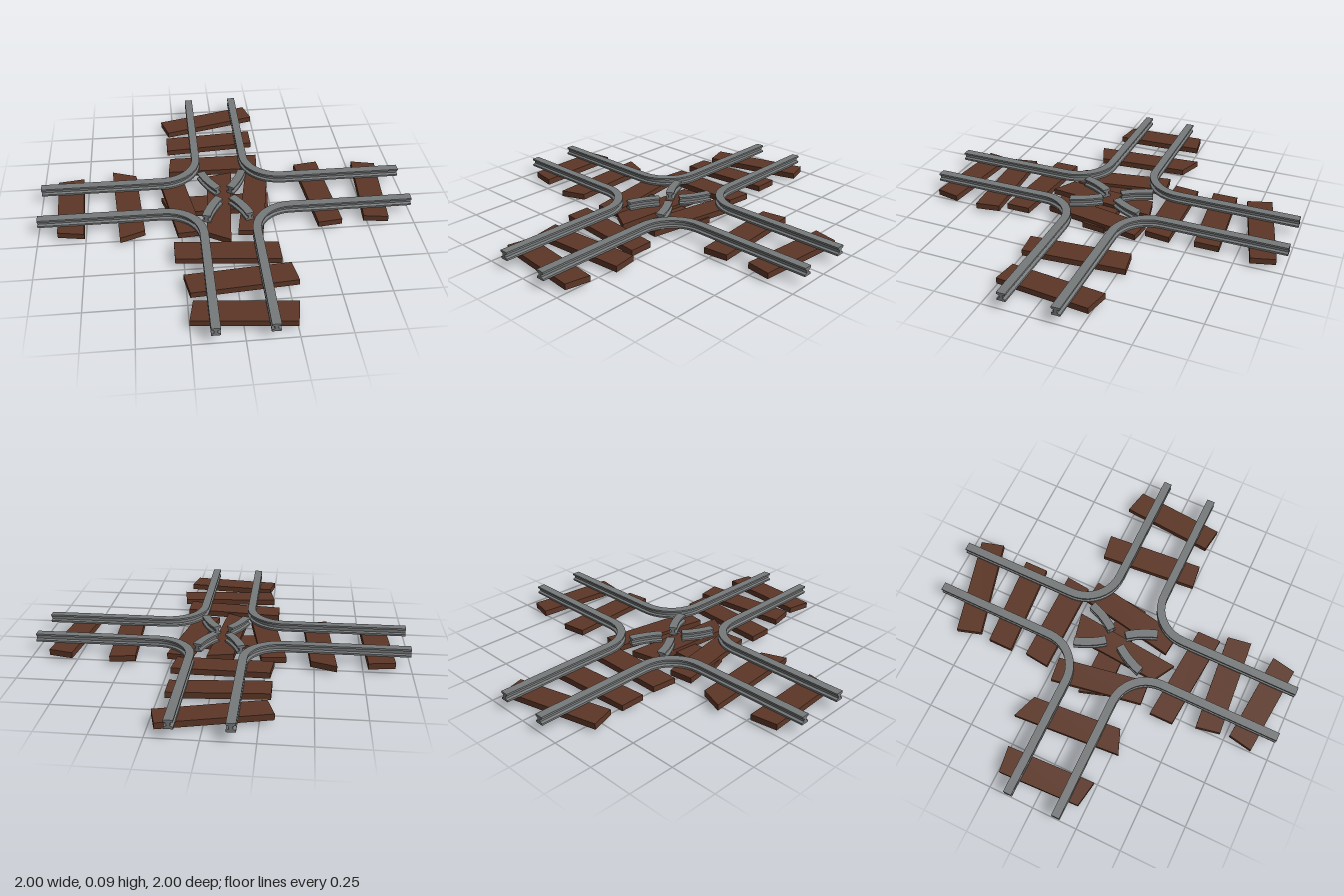
import * as THREE from 'three';
import { toCreasedNormals } from 'three/addons/utils/BufferGeometryUtils.js';

const GAUGE = 0.137;   // half distance between two rails
const BEND = 0.2;      // radius of the corner bends
const PIVOT = GAUGE + BEND;
const RAIL_Y = 0.0725; // middle height of the rails

// I-beam cross-section, counter-clockwise
const halfBeam = [[0.0225, -0.0225], [0.0225, -0.0125], [0.009, -0.0075],
  [0.009, 0.0075], [0.0225, 0.0125], [0.0225, 0.0225]];
const beam = [...halfBeam, ...halfBeam.map(([u, v]) => [-u, -v])]
  .map(([u, v]) => new THREE.Vector2(u, v));

// Stations (x, z, tangent) along an arc whose angle runs downwards, in degrees
function arc(cx, cz, r, from, to, steps) {
  const stations = [];
  for (let i = 0; i <= steps; i++) {
    const a = THREE.MathUtils.degToRad(from + (to - from) * i / steps);
    stations.push({ x: cx + r * Math.cos(a), z: cz + r * Math.sin(a), tx: Math.sin(a), tz: -Math.cos(a) });
  }
  return stations;
}

// Sweep the beam section through the stations and cap both ends
function sweepRail(stations) {
  const pos = [];
  const rings = stations.map(s => beam.map(p =>
    [s.x + p.x * s.tz, RAIL_Y + p.y, s.z - p.x * s.tx]));
  const tri = (a, b, c) => pos.push(...a, ...b, ...c);
  const n = beam.length;
  for (let i = 0; i < rings.length - 1; i++) {
    for (let j = 0; j < n; j++) {
      const k = (j + 1) % n;
      tri(rings[i][j], rings[i][k], rings[i + 1][k]);
      tri(rings[i][j], rings[i + 1][k], rings[i + 1][j]);
    }
  }
  const first = rings[0], last = rings[rings.length - 1];
  for (const [a, b, c] of THREE.ShapeUtils.triangulateShape(beam, [])) {
    tri(last[a], last[b], last[c]);
    tri(first[a], first[c], first[b]);
  }
  const geo = new THREE.BufferGeometry();
  geo.setAttribute('position', new THREE.Float32BufferAttribute(pos, 3));
  geo.computeVertexNormals();
  return toCreasedNormals(geo, 0.4);
}

// Uneven plank from four corners in plan (x, z pairs)
function plank(c, bottom, height) {
  const shape = new THREE.Shape();
  for (let i = 0; i < 8; i += 2) {
    if (i === 0) shape.moveTo(c[0], -c[1]);
    else shape.lineTo(c[i], -c[i + 1]);
  }
  const geo = new THREE.ExtrudeGeometry(shape, { depth: height, bevelEnabled: false });
  return geo.rotateX(-Math.PI / 2).translate(0, bottom, 0);
}

const sleepers = {
  backSleeper: [
    [-0.32, -0.82, 0.21, -0.955, 0.245, -0.83, -0.28, -0.69],
    [-0.295, -0.63, 0.21, -0.665, 0.21, -0.535, -0.295, -0.495],
    [-0.28, -0.41, 0.225, -0.405, 0.21, -0.27, -0.295, -0.275]],
  frontSleeper: [
    [-0.295, 0.34, 0.24, 0.39, 0.24, 0.52, -0.295, 0.47],
    [-0.26, 0.59, 0.28, 0.55, 0.3, 0.68, -0.235, 0.72],
    [-0.225, 0.77, 0.275, 0.82, 0.25, 0.95, -0.25, 0.9]],
  rightSleeper: [
    [-0.915, -0.235, -0.775, -0.255, -0.755, 0.235, -0.895, 0.21],
    [-0.615, -0.305, -0.48, -0.255, -0.44, 0.235, -0.57, 0.285],
    [-0.355, -0.22, -0.225, -0.235, -0.14, 0.265, -0.27, 0.275]],
  leftSleeper: [
    [0.145, -0.25, 0.27, -0.235, 0.175, 0.295, 0.045, 0.28],
    [0.43, -0.28, 0.565, -0.3, 0.605, 0.24, 0.475, 0.255],
    [0.77, -0.28, 0.9, -0.25, 0.855, 0.245, 0.725, 0.225]],
  middleSleeper: [
    [-0.08, -0.21, 0.06, -0.24, 0, 0.35, -0.12, 0.28]],
};

export function createModel() {
  const model = new THREE.Group();
  const steel = new THREE.MeshStandardMaterial({ color: 0x777a7b });
  const wood = new THREE.MeshStandardMaterial({ color: 0x5c3626 });
  const add = (name, geo, mat, turn = 0) => {
    const mesh = new THREE.Mesh(geo, mat);
    mesh.name = name;
    mesh.rotation.y = turn * Math.PI / 2;
    model.add(mesh);
  };

  // Wooden sleepers, with one lower crosswise plank under the middle
  for (const [name, list] of Object.entries(sleepers)) {
    for (const corners of list) add(name, plank(corners, 0.018, 0.032), wood);
  }
  add('lowerCrossSleeper', plank([-0.345, -0.06, 0.245, -0.055, 0.23, 0.075, -0.3, 0.08], 0, 0.032), wood);

  // Four outer rails, each bending from one arm into the next
  const cornerRail = sweepRail([
    { x: 1, z: GAUGE, tx: -1, tz: 0 },
    ...arc(PIVOT, PIVOT, BEND, -90, -180, 10),
    { x: GAUGE, z: 1, tx: 0, tz: 1 },
  ]);
  for (let k = 0; k < 4; k++) add('cornerRail', cornerRail, steel, k);

  // Four short curved rails meeting around the crossing point
  const inner = PIVOT + GAUGE;
  const crossA = sweepRail(arc(-PIVOT, PIVOT, inner, -17, -38.5, 5));
  const crossB = sweepRail(arc(-PIVOT, PIVOT, inner, -51.5, -73, 5));
  for (const k of [0, 2]) {
    add('crossingRail', crossA, steel, k);
    add('crossingRail', crossB, steel, k + 1);
  }
  return model;
}
